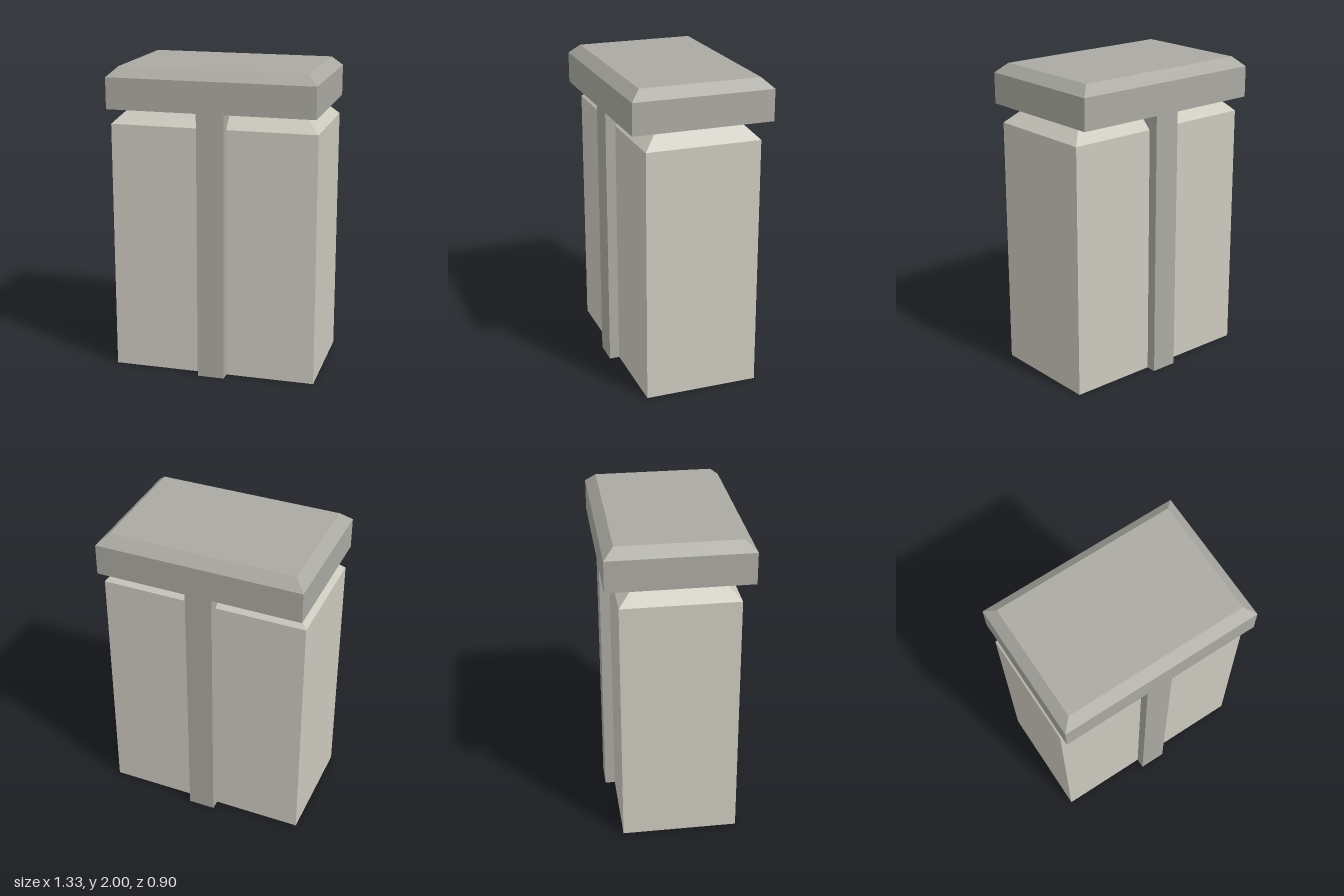
import * as THREE from 'three';

const bodyMaterial = new THREE.MeshStandardMaterial({ color: 0xccc9be, flatShading: true });
const trimMaterial = new THREE.MeshStandardMaterial({ color: 0xaaa9a2, flatShading: true });

// Closed block with a sloped rim: straight sides from y0 to y1, then drawn in by inset up to y2
function chamferedBlock(halfX, halfZ, y0, y1, y2, inset) {
  const geometry = new THREE.BoxGeometry(2, 1, 2, 1, 2, 1);
  const p = geometry.attributes.position;
  for (let i = 0; i < p.count; i++) {
    const level = Math.round((p.getY(i) + 0.5) * 2);
    const drawIn = level === 2 ? inset : 0;
    p.setXYZ(i, p.getX(i) * (halfX - drawIn), [y0, y1, y2][level], p.getZ(i) * (halfZ - drawIn));
  }
  const flat = geometry.toNonIndexed();
  flat.computeVertexNormals();
  return flat;
}

export function createModel() {
  const group = new THREE.Group();
  group.name = 'cappedBlock';

  const add = (name, geometry, material) => {
    const mesh = new THREE.Mesh(geometry, material);
    mesh.name = name;
    group.add(mesh);
    return mesh;
  };

  // Main body, lifted a hair so its base does not clash with the band
  add('body', chamferedBlock(0.665, 0.368, 0.002, 1.63, 1.74, 0.11), bodyMaterial);

  // Vertical band running through the body from front to back
  add('centreBand', new THREE.BoxGeometry(0.175, 1.74, 0.864), trimMaterial).position.y = 0.87;

  // Overhanging lid with a bevelled top rim
  add('cap', chamferedBlock(0.665, 0.45, 1.738, 1.938, 2, 0.065), trimMaterial);

  return group;
}
